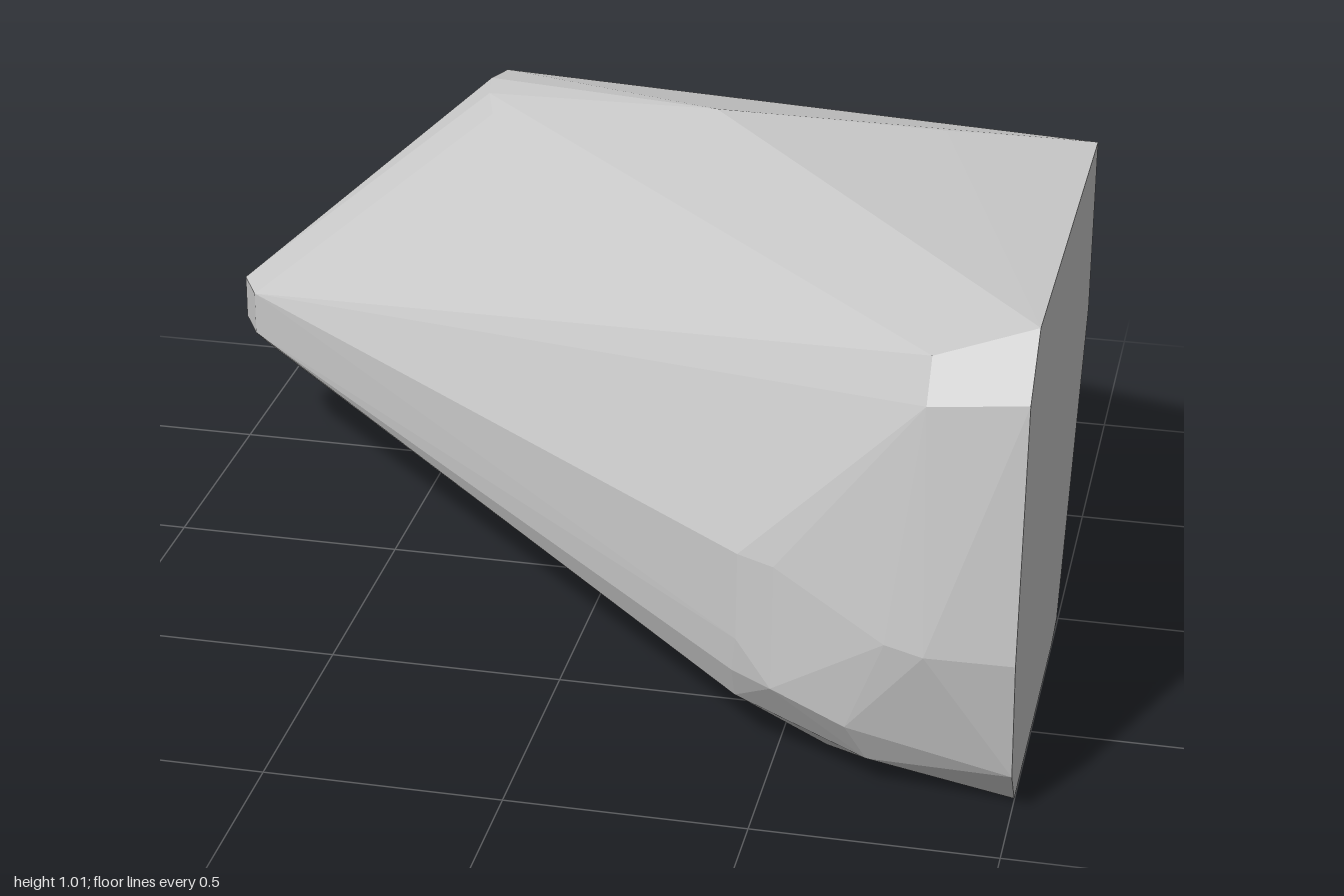
import * as THREE from 'three';
import { ConvexGeometry } from 'three/addons/geometries/ConvexGeometry.js';

const corners = (list) => list.map(([x, y, z]) => new THREE.Vector3(x, y, z));

// outline of the flat cut side, as [z, y]
const cutSide = [
  [0.73, 1.02], [0.85, 0.91], [0.89, 0.37], [0.85, 0.1], [0.78, 0.01],
  [0.12, 0.005], [0.03, 0.02], [-0.34, 0.6], [-0.34, 0.99],
].map(([z, y]) => [1, y, z]);

// narrow worn end
const tip = [
  [-1, 0.41, -0.52], [-1, 0.31, -0.52], [-0.98, 0.4, -0.58], [-0.98, 0.34, -0.58],
  [-0.95, 0.41, -0.43], [-0.95, 0.31, -0.43], [-0.95, 0.25, -0.51],
];

// ridge over the top and the flat back
const ridge = [
  [-0.45, 0.84, -0.895], [-0.45, 0.76, -0.895], [-0.46, 0.86, -0.78],
  [-0.44, 0.86, -0.68], [-0.41, 0.845, -0.59], [0.15, 0.97, -0.41], [0.67, 0.985, -0.35],
];

// chipped front
const frontChips = [
  [0.8, 0.96, 0.77], [0.8, 0.88, 0.83], [0.82, 0.37, 0.893], [0.74, 0.38, 0.875],
  [0.5, 0.47, 0.77], [0.42, 0.47, 0.73], [0.42, 0.28, 0.735], [0.5, 0.2, 0.78],
  [0.41, 0.2, 0.72], [0.66, 0.16, 0.83], [0.41, 0.12, 0.68], [0.7, 0.07, 0.79],
];

// worn lower edges
const lowerChips = [
  [0.5, 0.025, 0.6], [0.6, 0.015, 0.66],
  [-0.2, 0.28, -0.66], [-0.37, 0.27, -0.665], [-0.5, 0.265, -0.66], [-0.6, 0.25, -0.635],
];

export function createModel() {
  const stone = new THREE.MeshStandardMaterial({ color: 0xc8c8c8 });
  stone.name = 'light grey stone';

  const rock = new THREE.Mesh(
    new ConvexGeometry(corners([...cutSide, ...tip, ...ridge, ...frontChips, ...lowerChips])), stone);
  rock.name = 'rockChunk';

  const group = new THREE.Group();
  group.name = 'brokenRock';
  group.add(rock);
  return group;
}
